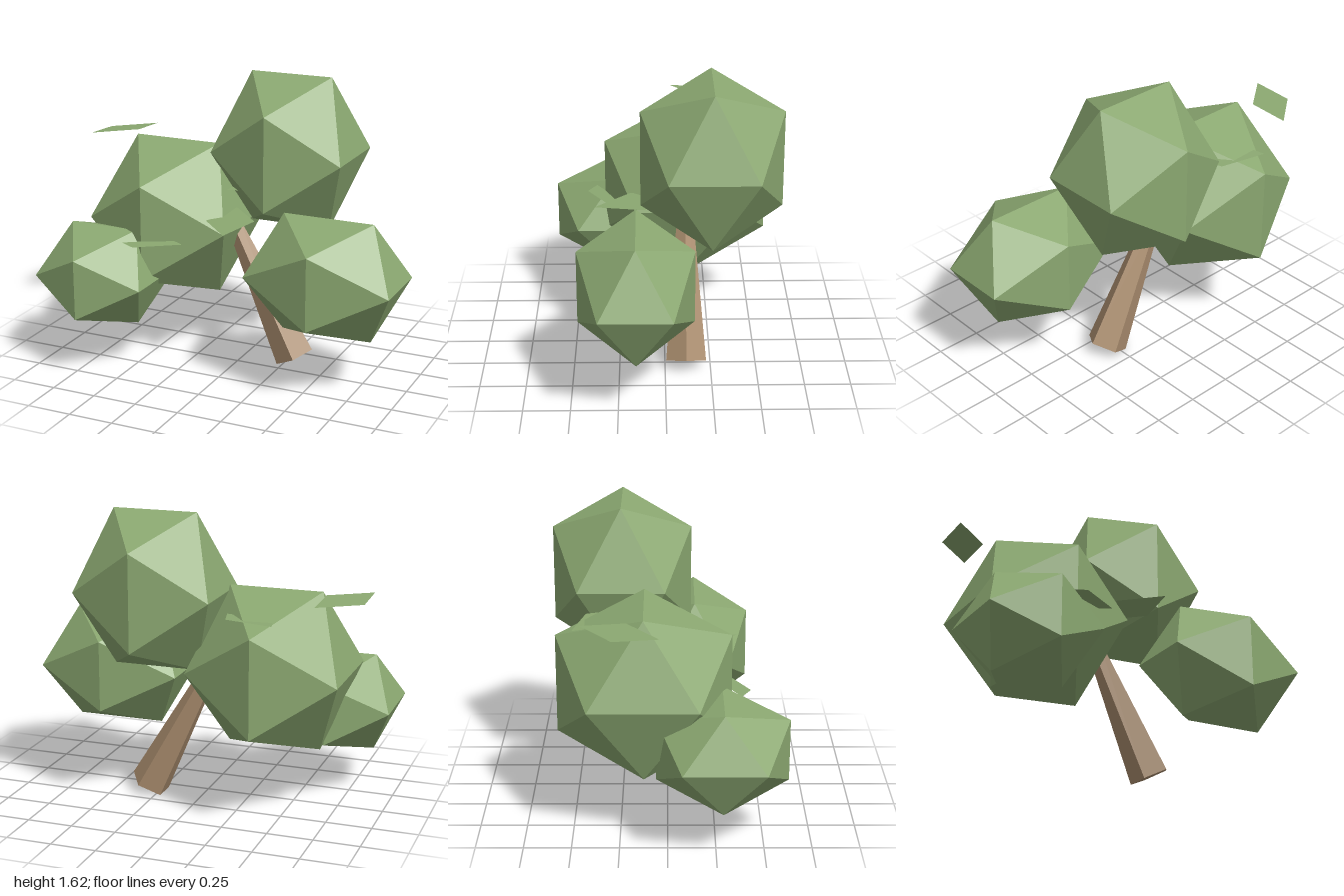
import * as THREE from 'three';

export function createModel() {
  const tree = new THREE.Group();
  tree.name = 'tree';

  const foliage = new THREE.MeshStandardMaterial({ color: 0x8ba871, flatShading: true, side: THREE.DoubleSide });
  foliage.name = 'foliage green';
  const bark = new THREE.MeshStandardMaterial({ color: 0xaa8d6e, flatShading: true });
  bark.name = 'bark brown';

  const add = (name, geometry, material) => {
    const mesh = new THREE.Mesh(geometry, material);
    mesh.name = name;
    tree.add(mesh);
    return mesh;
  };

  // Leaning five-sided trunk, tapering into the foliage
  const length = 0.85, lean = 0.474;
  const trunk = new THREE.CylinderGeometry(0.042, 0.115, length, 5);
  trunk.rotateY(Math.PI / 2);
  trunk.translate(0, length / 2, 0);
  trunk.rotateZ(lean);
  trunk.translate(0.303, 0.042, -0.115);
  add('trunk', trunk, bark);

  // Foliage clumps: centre and half extents of stretched icosahedra
  const reach = 0.8507; // half extent of a unit icosahedron
  const clumps = [
    ['topClump', [0.208, 1.195, -0.248], [0.378, 0.425, 0.378]],
    ['middleClump', [-0.422, 0.79, -0.123], [0.412, 0.432, 0.458]],
    ['leftClump', [0.59, 0.64, 0.154], [0.405, 0.325, 0.306]],
    ['rightClump', [-0.677, 0.525, 0.283], [0.323, 0.27, 0.342]],
  ];
  for (const [name, centre, half] of clumps) {
    const clump = add(name, new THREE.IcosahedronGeometry(1, 0), foliage);
    clump.position.set(...centre);
    clump.scale.set(...half.map((h) => h / reach));
  }

  // Loose flat leaves: parallelograms from three consecutive corners
  const leaves = [
    [[-0.93, 1.22, -0.04], [-0.715, 1.225, -0.205], [-0.715, 1.212, -0.435]],
    [[-0.51, 0.75, 0.385], [-0.42, 0.75, 0.435], [-0.19, 0.757, 0.3]],
    [[-0.1, 0.872, 0.19], [0.09, 0.87, 0.38], [0.15, 0.878, 0.11]],
    [[-0.51, 1.11, -0.49], [-0.245, 1.11, -0.43], [-0.22, 1.115, -0.325]],
    [[-0.14, 0.985, -0.03], [0.05, 0.99, -0.06], [0.04, 0.99, -0.22]],
  ];
  leaves.forEach(([a, b, c], i) => {
    const d = a.map((v, k) => v + c[k] - b[k]);
    const leaf = new THREE.BufferGeometry();
    leaf.setAttribute('position', new THREE.Float32BufferAttribute([...a, ...b, ...c, ...d], 3));
    leaf.setIndex([0, 1, 2, 0, 2, 3]);
    leaf.computeVertexNormals();
    add(`leaf${i + 1}`, leaf, foliage);
  });

  return tree;
}
